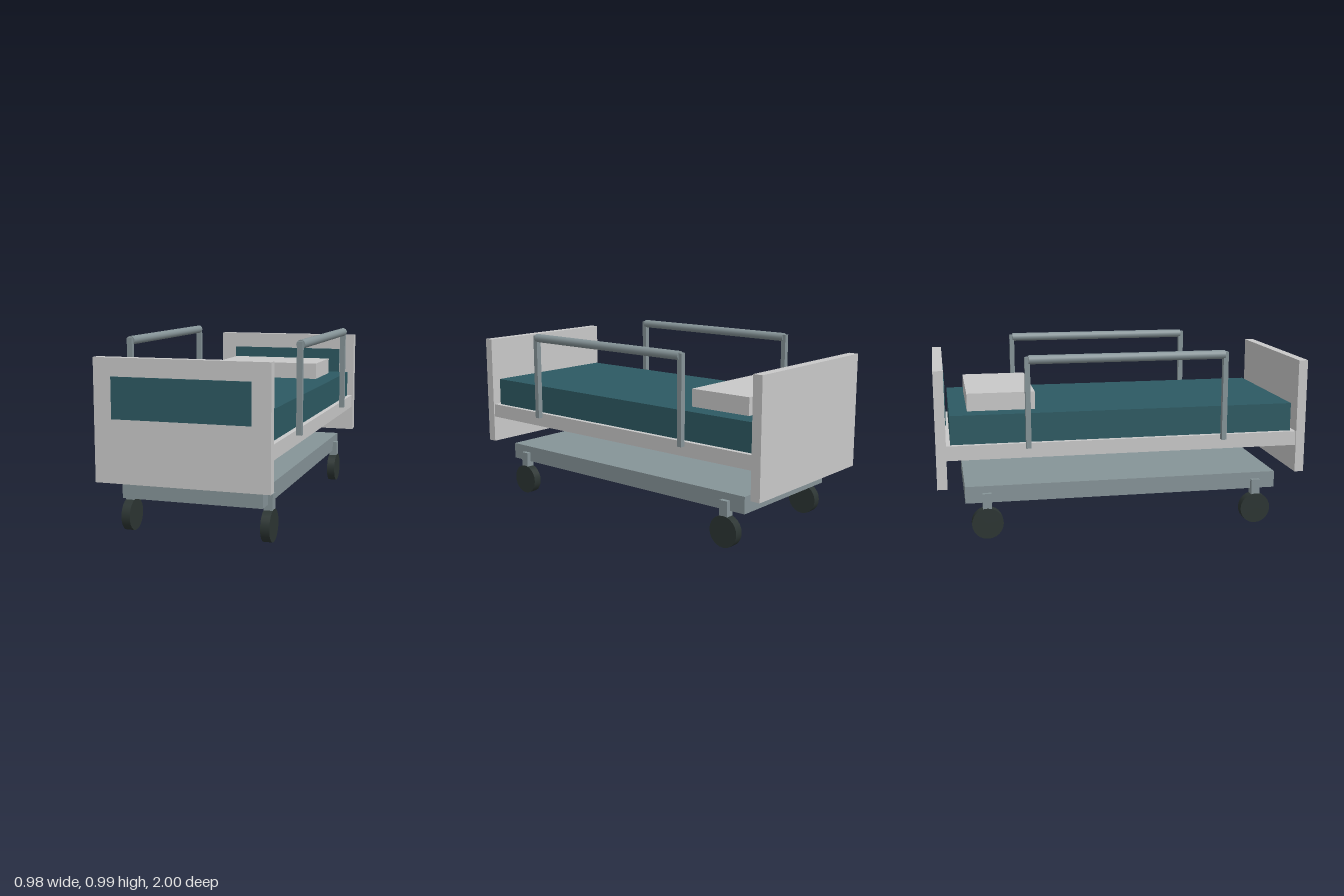
import * as THREE from 'three';

const paint = (name, color) => {
  const m = new THREE.MeshStandardMaterial({ color });
  m.name = name;
  return m;
};

export function createModel() {
  const bed = new THREE.Group();
  bed.name = 'hospitalBed';

  const shell = paint('paleGrey', 0xc9c9c9);
  const teal = paint('teal', 0x2d5a63);
  const metal = paint('steelGrey', 0x869498);
  const rubber = paint('darkRubber', 0x2c3533);

  const add = (name, geometry, material, x, y, z) => {
    const mesh = new THREE.Mesh(geometry, material);
    mesh.name = name;
    mesh.position.set(x, y, z);
    bed.add(mesh);
    return mesh;
  };
  // Box given by its width, bottom and top, back and front
  const box = (name, material, x, width, y0, y1, z0, z1) =>
    add(name, new THREE.BoxGeometry(width, y1 - y0, z1 - z0), material, x, (y0 + y1) / 2, (z0 + z1) / 2);

  // End boards, each with an inlay on its front face
  for (const [name, z0, z1] of [['footboard', 0.945, 0.995], ['headboard', -1, -0.947]]) {
    box(name, shell, 0, 0.9, 0.3, 0.92, z0, z1);
    box(name + 'Inlay', teal, 0, 0.712, 0.62, 0.828, z1 - 0.002, z1 + 0.005);
  }

  // Deck, mattress and pillow
  box('deck', shell, 0, 0.886, 0.45, 0.527, -0.947, 0.945);
  box('mattress', teal, 0, 0.832, 0.527, 0.68, -0.925, 0.921);
  box('pillow', shell, 0, 0.622, 0.68, 0.774, -0.831, -0.472);

  // Wheeled base
  box('base', metal, 0, 0.74, 0.194, 0.285, -0.857, 0.857);

  const barGeometry = new THREE.CylinderGeometry(0.0235, 0.0235, 1.04, 16).rotateX(Math.PI / 2);
  const wheelGeometry = new THREE.CylinderGeometry(0.084, 0.084, 0.046, 24).rotateZ(Math.PI / 2);

  for (const side of [-1, 1]) {
    // Side rail
    add('railBar', barGeometry, metal, side * 0.466, 0.967, 0);
    for (const end of [-1, 1]) {
      const z = end * 0.525;
      box('railPost', metal, side * 0.465, 0.029, 0.506, 0.981, z - 0.0135, z + 0.0135);

      // Caster
      const cz = end * 0.743;
      box('casterFork', metal, side * 0.371, 0.0465, 0.1, 0.248, cz - 0.024, cz + 0.024);
      add('casterWheel', wheelGeometry, rubber, side * 0.371, 0.084, cz).scale.x = 1.02;
    }
  }
  return bed;
}
